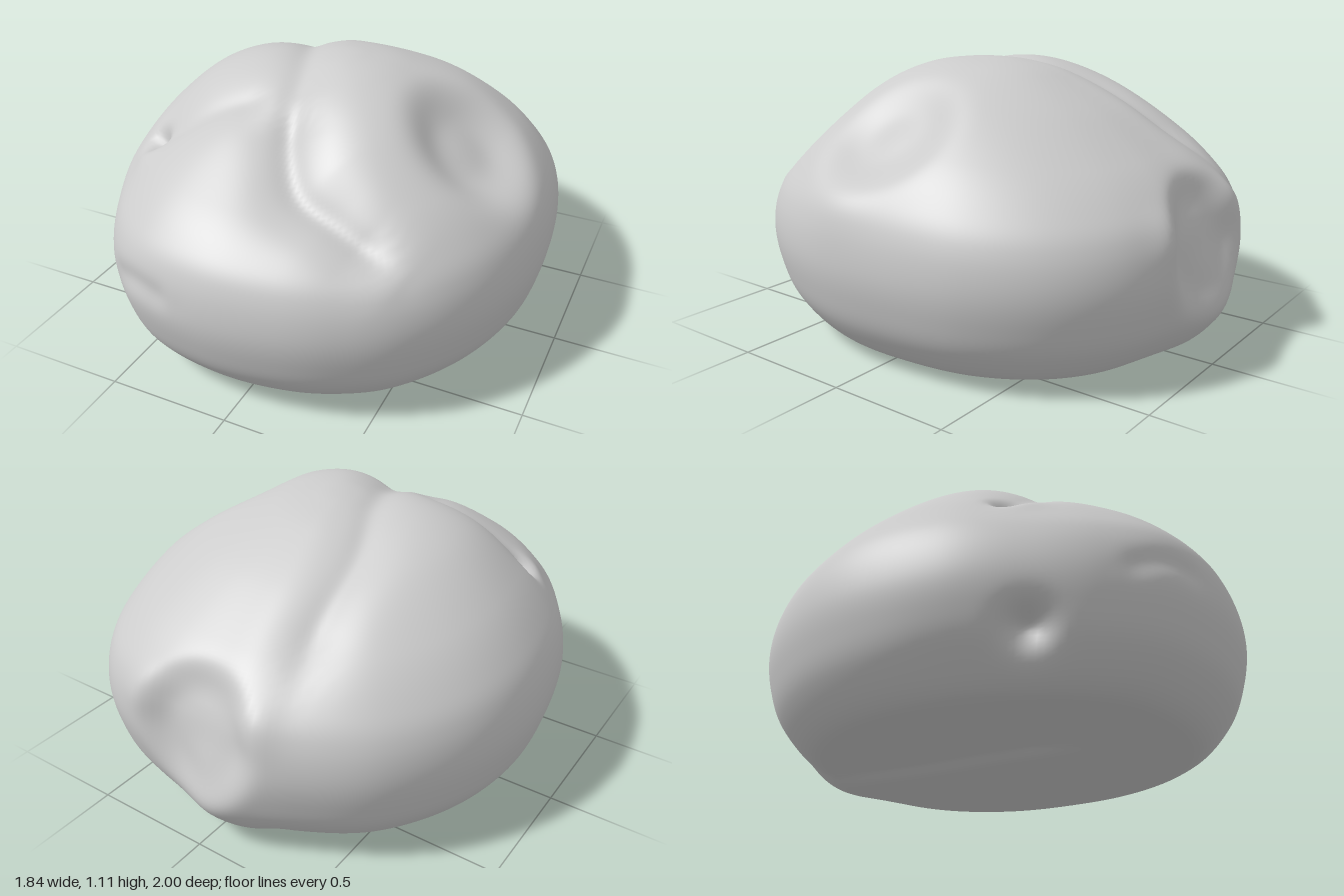
import * as THREE from 'three';

const V = (x, y, z) => new THREE.Vector3(x, y, z);
const AROUND = 220, RINGS = 140;

// Plan outline (x, z), counter-clockwise from the front
const outline = new THREE.CatmullRomCurve3([
  [-0.1, 1], [0.2, 0.97], [0.4, 0.9], [0.6, 0.77], [0.8, 0.5], [0.9, 0.2], [0.91, -0.1], [0.85, -0.45],
  [0.7, -0.72], [0.5, -0.89], [0.25, -0.975], [0, -0.99], [-0.2, -0.985], [-0.4, -0.91], [-0.65, -0.74], [-0.85, -0.43],
  [-0.92, -0.1], [-0.87, 0.3], [-0.75, 0.57], [-0.6, 0.79], [-0.4, 0.94],
].map(([x, z]) => V(x, 0, z)), true);

// Side profile: share of the outline against height, bottom to top
const profile = new THREE.SplineCurve([
  [0, 0.015], [0.4, 0.01], [0.7, 0.012], [0.82, 0.045], [0.93, 0.165], [0.98, 0.29], [1, 0.42], [0.98, 0.56],
  [0.92, 0.68], [0.78, 0.835], [0.56, 0.985], [0.3, 1.075], [0.12, 1.105], [0, 1.11],
].map(([r, y]) => new THREE.Vector2(r, y))).getSpacedPoints(RINGS);

// The top slopes more steeply towards front and back than to the sides
const slope = (y, z) => y - 0.33 * z * z * Math.max(0, 1 - z * z) * Math.max(0, (y - 0.43) / 0.68);

// Height of the upper surface above a plan position
function topY(x, z) {
  const f = Math.hypot(x / 0.91, z);
  for (let i = RINGS; i > 0; i--) if (profile[i].x >= f) return slope(profile[i].y, z);
  return 0.43;
}
const onTop = (x, z) => V(x, topY(x, z), z);

// Creases: a path, a depth and a half-width; depth fades at both ends
const crease = (points, depth, width) => ({
  samples: new THREE.CatmullRomCurve3(points).getSpacedPoints(200), depth, width,
});
const seam = [[-0.33, -0.85], [-0.28, -0.6], [-0.25, -0.3], [-0.14, 0], [-0.03, 0.32], [0.02, 0.5]].map(p => onTop(...p));
const fold = [[-0.05, 0.3], [0.03, 0.52], [0.14, 0.66], [0.32, 0.7], [0.58, 0.7]].map(p => onTop(...p));
const pull = [[-0.1, 0.33], [-0.25, 0.37], [-0.45, 0.43], [-0.66, 0.44]].map(p => onTop(...p));
const under = [V(-0.03, 0.01, 0.42), V(-0.08, 0.01, 0), V(-0.14, 0.01, -0.45), V(-0.27, 0.06, -0.88)];
const creases = [
  crease(seam, 0.01, 0.05), crease(seam, 0.03, 0.12),
  crease(fold, 0.02, 0.05), crease(fold, 0.045, 0.13),
  crease(pull, 0.01, 0.05), crease(pull, 0.02, 0.12),
  crease(under, 0.03, 0.045), crease(under, 0.01, 0.1),
  crease([V(-0.56, 0.4, 0.81), V(-0.4, 0.47, 0.92), V(-0.2, 0.46, 0.98)], 0.015, 0.05),
];

// Dents (positive depth) and bulges (negative): centre, radius, depth, edge sharpness
const dents = [
  [onTop(0.62, 0.09), 0.25, 0.095, 4],              // side hollow
  [V(0.8, 0.62, 0.12), 0.14, -0.012, 2],            // its outer lip
  [V(0.01, 0.49, -0.97), 0.24, 0.075, 6],           // back hollow
  [V(-0.05, 0.29, -0.96), 0.14, -0.05, 2],          // its lower lip
  [V(-0.05, 0.08, -0.88), 0.17, -0.035, 2],         // fullness beneath it
  [V(-0.22, 0.58, -0.92), 0.09, -0.02, 2],          // its corners
  [V(0.28, 0.55, -0.93), 0.09, -0.015, 2],
  [onTop(-0.62, 0.42), 0.05, 0.07, 2],              // upper pinch
  [onTop(-0.62, 0.48), 0.08, -0.01, 2],
  [V(-0.7, 0.21, 0.55), 0.08, 0.08, 2],             // lower pinch
  [V(-0.75, 0.08, 0.3), 0.2, 0.02, 2],
  [onTop(0.12, 0.72), 0.25, 0.025, 2],              // sunken front below the fold
  [onTop(0.22, 0.3), 0.25, -0.03, 2],               // right lobe
  [onTop(-0.42, 0.12), 0.27, -0.025, 2],            // left lobe
];

function displacement(p) {
  let d = 0;
  for (const { samples, depth, width } of creases) {
    let best = Infinity, at = 0;
    samples.forEach((s, i) => {
      const q = s.distanceToSquared(p);
      if (q < best) { best = q; at = i / (samples.length - 1); }
    });
    const fade = 0.15 + 0.85 * THREE.MathUtils.smoothstep(Math.min(at, 1 - at), 0, 0.22);
    d -= depth * fade * Math.exp(-best / (width * width));
  }
  for (const [c, r, depth, sharp] of dents) d -= depth * Math.exp(-Math.pow(c.distanceTo(p) / r, sharp));
  return d;
}

function cushionGeometry() {
  // Closed rings between two poles
  const pos = [0, profile[0].y, 0], index = [];
  const plan = outline.getSpacedPoints(AROUND);
  for (let i = 1; i < RINGS; i++)
    for (let j = 0; j < AROUND; j++) {
      const z = plan[j].z * profile[i].x;
      pos.push(plan[j].x * profile[i].x, slope(profile[i].y, z), z);
    }
  pos.push(0, profile[RINGS].y, 0);
  const at = (i, j) => 1 + (i - 1) * AROUND + (j % AROUND);
  const top = pos.length / 3 - 1;
  for (let j = 0; j < AROUND; j++) {
    index.push(0, at(1, j + 1), at(1, j));
    for (let i = 1; i < RINGS - 1; i++) {
      const a = at(i, j), b = at(i, j + 1), c = at(i + 1, j + 1), d = at(i + 1, j);
      index.push(a, b, c, a, c, d);
    }
    index.push(top, at(RINGS - 1, j), at(RINGS - 1, j + 1));
  }
  const geo = new THREE.BufferGeometry();
  geo.setAttribute('position', new THREE.Float32BufferAttribute(pos, 3));
  geo.setIndex(index);
  geo.computeVertexNormals();

  // Push the surface in and out along its normals
  const P = geo.attributes.position, N = geo.attributes.normal, p = V(), n = V();
  for (let i = 0; i < P.count; i++) {
    p.fromBufferAttribute(P, i);
    n.fromBufferAttribute(N, i);
    p.addScaledVector(n, displacement(p));
    P.setXYZ(i, p.x, p.y, p.z);
  }
  geo.computeVertexNormals();

  // Stand on the ground, centred
  geo.computeBoundingBox();
  const box = geo.boundingBox, mid = box.getCenter(V());
  geo.translate(-mid.x, -box.min.y, -mid.z);
  return geo;
}

export function createModel() {
  const grey = new THREE.MeshStandardMaterial({ color: 0xcccccc });
  grey.name = 'light grey';
  const body = new THREE.Mesh(cushionGeometry(), grey);
  body.name = 'cushionBody';
  const group = new THREE.Group();
  group.name = 'cushion';
  group.add(body);
  return group;
}
